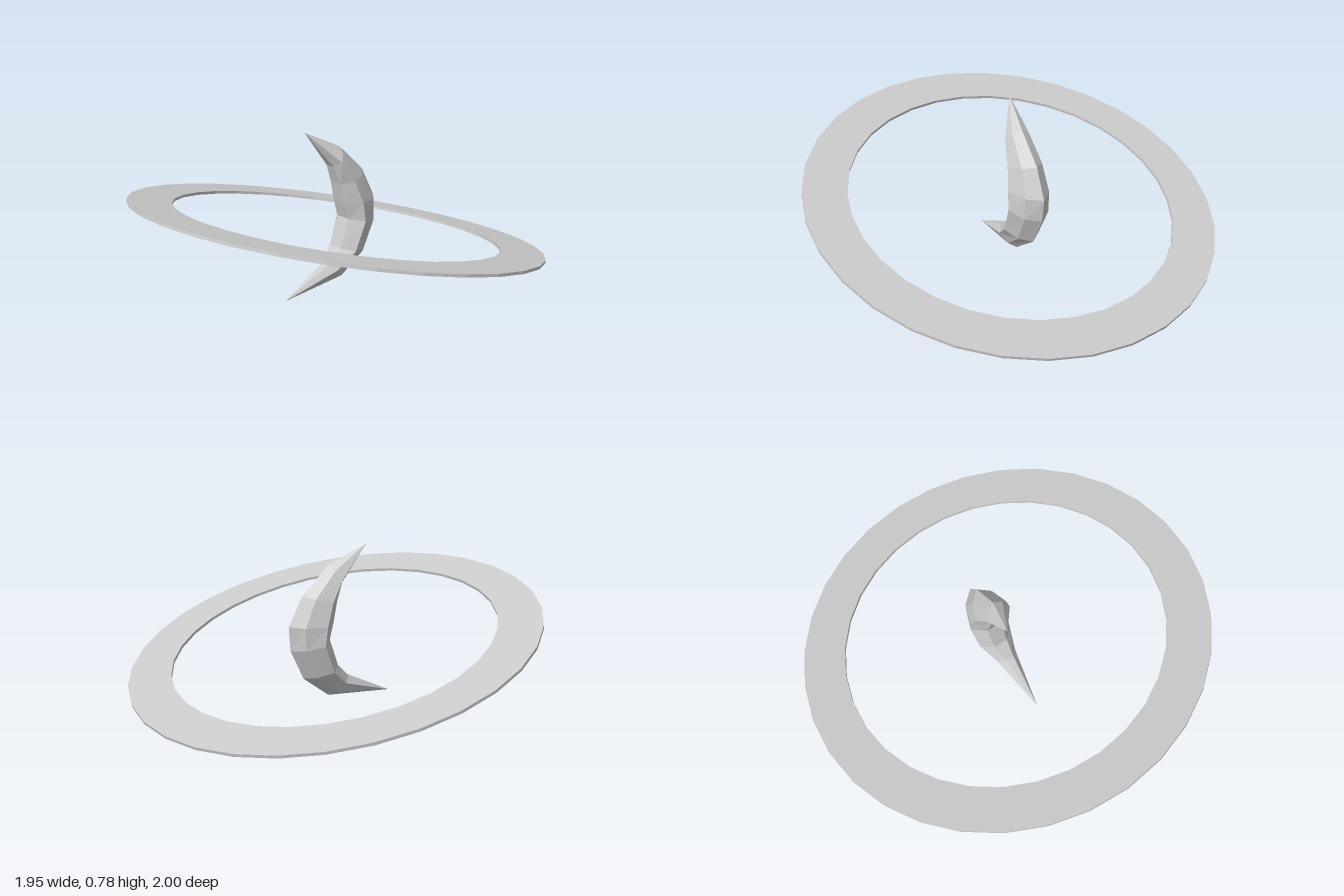
import * as THREE from 'three';

const material = new THREE.MeshStandardMaterial({ color: 0xcccccc, flatShading: true });

// Flat, thin ring: a rectangular profile turned around a tilted axis
function createRing() {
  const h = 0.007, inner = 0.79, outer = 1;
  const profile = [[inner, -h], [outer, -h], [outer, h], [inner, h], [inner, -h]]
    .map(([r, y]) => new THREE.Vector2(r, y));
  const ring = new THREE.Mesh(new THREE.LatheGeometry(profile, 32), material);
  ring.name = 'tiltedRing';
  ring.position.y = 0.32;
  const axis = new THREE.Vector3(0.24, 1, -0.045).normalize();
  ring.quaternion.setFromUnitVectors(new THREE.Vector3(0, 1, 0), axis);
  return ring;
}

// Faceted crescent: seven-sided sections lofted from the upper tip to the lower tip
function createCrescent() {
  // outer x, outer y, inner x, inner y, half width, z centre
  const stations = [
    [-0.14, 0.785, -0.14, 0.785, 0, -0.07],
    [0.04, 0.695, -0.02, 0.61, 0.065, -0.025],
    [0.18, 0.56, 0.01, 0.52, 0.085, -0.02],
    [0.25, 0.42, 0.03, 0.42, 0.1, -0.015],
    [0.24, 0.30, 0.05, 0.34, 0.102, -0.012],
    [0.17, 0.15, 0.0, 0.2, 0.09, -0.01],
    [0.03, 0.04, -0.07, 0.13, 0.055, -0.005],
    [-0.32, 0.005, -0.32, 0.005, 0, -0.01],
  ];
  // position from inner to outer edge, share of half width
  const section = [[1, 0], [0.75, 0.65], [0.3, 1], [0, 0.4], [0, -0.4], [0.3, -1], [0.75, -0.65]];
  const rings = stations.map(([ox, oy, ix, iy, w, zc]) => section.map(([t, s]) =>
    [ix + (ox - ix) * t, iy + (oy - iy) * t, zc + w * s]));

  const positions = [];
  const n = section.length, last = rings.length - 2;
  for (let i = 0; i <= last; i++) {
    for (let j = 0; j < n; j++) {
      const k = (j + 1) % n;
      const a = rings[i][j], b = rings[i][k], c = rings[i + 1][k], d = rings[i + 1][j];
      if (i < last) positions.push(...a, ...b, ...c);
      else positions.push(...a, ...b, ...d);
      if (i > 0 && i < last) positions.push(...a, ...c, ...d);
      if (i === 0) positions.push(...a, ...c, ...d);
    }
  }
  const geometry = new THREE.BufferGeometry();
  geometry.setAttribute('position', new THREE.Float32BufferAttribute(positions, 3));
  geometry.computeVertexNormals();
  const crescent = new THREE.Mesh(geometry, material);
  crescent.name = 'crescent';
  return crescent;
}

export function createModel() {
  const model = new THREE.Group();
  model.name = 'ringedCrescent';
  model.add(createRing(), createCrescent());
  return model;
}
